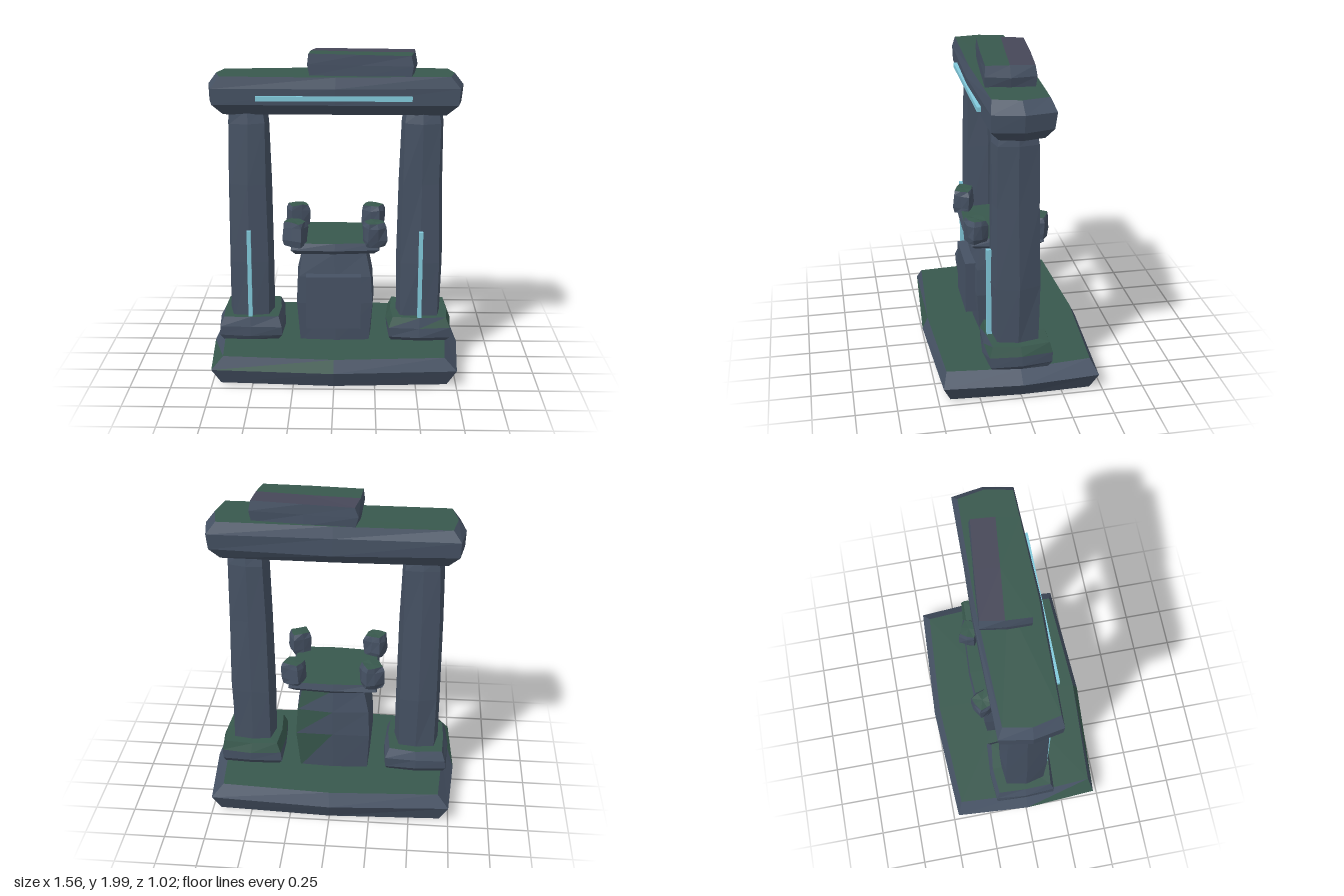
import * as THREE from 'three';

const slate = new THREE.MeshStandardMaterial({ color: 0x465264 });
slate.name = 'slate stone';
const moss = new THREE.MeshStandardMaterial({ color: 0x38584d });
moss.name = 'moss';
const violet = new THREE.MeshStandardMaterial({ color: 0x464758 });
violet.name = 'violet stone';
const glow = new THREE.MeshStandardMaterial({ color: 0x82cadc });
glow.name = 'pale blue inlay';
for (const m of [slate, moss, violet]) m.flatShading = true;

// Small seeded generator for the hewn, slightly uneven corners
let seed = 7;
const wobble = (s) => {
  seed = (seed * 16807) % 2147483647;
  return (seed / 2147483647 - 0.5) * 2 * s;
};

// Rough-hewn stone lofted through rings [y, halfWidth, halfDepth, zShift].
// Each ring has four corners (pulled in by kx, kz) and four side midpoints.
// Faces steeper than mossLimit stay slate; pick() may override the choice.
function stone(name, rings, { kx = 0.95, kz = 0.93, rough = 0.005, mossLimit = 0.8, pick } = {}) {
  const loops = rings.map(([y, a, b, zs = 0]) => [
    [a, 0], [a * kx, b * kz], [0, b], [-a * kx, b * kz],
    [-a, 0], [-a * kx, -b * kz], [0, -b], [a * kx, -b * kz],
  ].map(([x, z]) => new THREE.Vector3(x + wobble(rough), y + wobble(rough), z + zs + wobble(rough))));
  const faces = [[], [], []];
  const tri = (a, b, c) => {
    const n = new THREE.Vector3().crossVectors(b.clone().sub(a), c.clone().sub(a)).normalize();
    const mid = a.clone().add(b).add(c).divideScalar(3);
    const chosen = pick ? pick(n, mid) : undefined;
    const index = chosen ?? (n.y > mossLimit ? 1 : 0);
    for (const p of [a, b, c]) faces[index].push(p.x, p.y, p.z);
  };
  const centre = (k) => new THREE.Vector3(0, rings[k][0], rings[k][3] ?? 0);
  const last = loops.length - 1;
  for (let i = 0; i < 8; i++) {
    const j = (i + 1) % 8;
    for (let r = 0; r < last; r++) {
      tri(loops[r][i], loops[r + 1][i], loops[r][j]);
      tri(loops[r][j], loops[r + 1][i], loops[r + 1][j]);
    }
    tri(centre(0), loops[0][i], loops[0][j]);
    tri(centre(last), loops[last][j], loops[last][i]);
  }
  const geo = new THREE.BufferGeometry();
  geo.setAttribute('position', new THREE.Float32BufferAttribute(faces.flat(), 3));
  let start = 0;
  faces.forEach((f, i) => {
    if (f.length) geo.addGroup(start, f.length / 3, i);
    start += f.length / 3;
  });
  geo.computeVertexNormals();
  const mesh = new THREE.Mesh(geo, [slate, moss, violet]);
  mesh.name = name;
  return mesh;
}

function box(name, material, w, h, d, x, y, z) {
  const mesh = new THREE.Mesh(new THREE.BoxGeometry(w, h, d), material);
  mesh.name = name;
  mesh.position.set(x, y, z);
  return mesh;
}

export function createModel() {
  seed = 7;
  const group = new THREE.Group();
  group.name = 'stoneGateShrine';

  // Base slab, with moss creeping over its front left chamfer
  group.add(stone('baseSlab', [
    [0.01, 0.725, 0.465], [0.115, 0.78, 0.51], [0.195, 0.705, 0.475, 0.005],
  ], { kx: 0.96, kz: 0.92, pick: (n, m) => (n.y > 0.35 && m.z > 0.2 && m.x < 0 ? 1 : undefined) }));

  // Two pillars on footing stones, each with a glowing inlay
  for (const s of [-1, 1]) {
    const side = s > 0 ? 'left' : 'right';
    const foot = stone(side + 'Footing', [
      [0.19, 0.185, 0.18], [0.225, 0.205, 0.205], [0.285, 0.203, 0.205], [0.345, 0.18, 0.185],
    ], { kx: 0.94, kz: 0.93, pick: (n) => (s > 0 && n.y > 0.2 ? 1 : undefined) });
    foot.position.x = s * 0.53;
    const pillar = stone(side + 'Pillar', [
      [0.32, 0.14, 0.14], [0.7, 0.143, 0.147], [1.2, 0.134, 0.14], [1.58, 0.127, 0.135], [1.66, 0.115, 0.12],
    ], { kx: 0.82, kz: 0.9 });
    pillar.position.set(s * 0.53, 0, 0.01);
    group.add(foot, pillar,
      box(side + 'PillarInlay', glow, 0.025, 0.57, 0.03, s * 0.532, 0.625, 0.165));
  }

  // Lintel with its inlay
  group.add(stone('lintel', [
    [1.635, 0.70, 0.14], [1.70, 0.77, 0.195, 0.005], [1.80, 0.775, 0.2, 0.005], [1.87, 0.72, 0.175, 0.01],
  ], { kx: 0.96, kz: 0.92 }));
  group.add(box('lintelInlay', glow, 0.93, 0.028, 0.03, -0.005, 1.745, 0.2));

  // Skewed capstone, mossy on the front half only
  const cap = stone('capstone', [
    [1.865, 0.315, 0.145], [1.93, 0.33, 0.15], [1.995, 0.315, 0.145],
  ], { kx: 0.97, kz: 0.97, pick: (n, m) => (n.y > 0.8 && m.z < 0 ? 2 : undefined) });
  cap.position.x = 0.163;
  cap.rotation.y = -0.09;
  group.add(cap);

  // Altar body and raised front panel
  group.add(stone('altarBody', [
    [0.18, 0.225, 0.185], [0.45, 0.242, 0.2], [0.62, 0.235, 0.195], [0.765, 0.205, 0.17], [0.79, 0.14, 0.12],
  ], { kx: 0.96, kz: 0.93, mossLimit: 0.6, pick: (n, m) => (n.z < -0.6 && m.x > 0.1 && m.y > 0.3 ? 1 : undefined) }));
  group.add(box('altarPanel', slate, 0.34, 0.34, 0.08, -0.007, 0.47, 0.21));

  // Altar table top
  group.add(stone('altarTop', [
    [0.782, 0.255, 0.215], [0.805, 0.285, 0.245], [0.848, 0.265, 0.23],
  ], { kx: 0.96, kz: 0.94 }));

  // Four horn stones on the table corners
  for (const sx of [-1, 1]) for (const sz of [-1, 1]) {
    const horn = stone('hornStone', [
      [0.835, 0.058, 0.05], [0.87, 0.066, 0.057], [0.95, 0.066, 0.057], [0.983, 0.055, 0.048],
    ], { kx: 0.9, kz: 0.9, rough: 0.006 });
    horn.position.set(sx * 0.243, 0, sz * 0.195);
    horn.rotation.y = 0.4 * sx * sz;
    group.add(horn);
  }
  return group;
}
